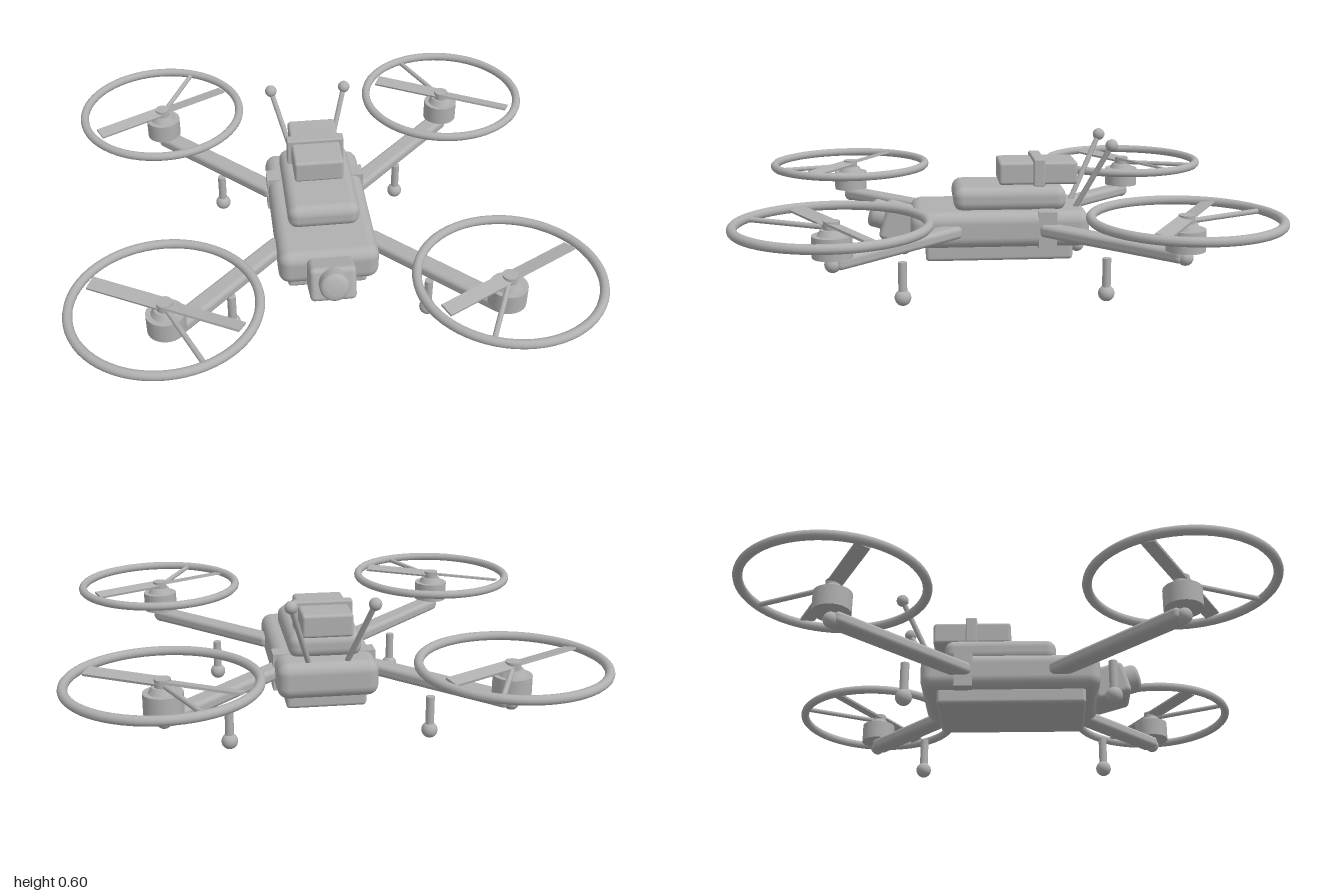
import * as THREE from 'three';
import { RoundedBoxGeometry } from 'three/addons/geometries/RoundedBoxGeometry.js';

const grey = new THREE.MeshStandardMaterial({ color: 0xb0b0b0 });
grey.name = 'grey';

function add(parent, name, geometry, x = 0, y = 0, z = 0) {
  const mesh = new THREE.Mesh(geometry, grey);
  mesh.name = name;
  mesh.position.set(x, y, z);
  parent.add(mesh);
  return mesh;
}

const rounded = (w, h, d, r) => new RoundedBoxGeometry(w, h, d, 4, r);
const ball = (r) => new THREE.SphereGeometry(r, 24, 16);

// Round bar between two points
function rod(parent, name, a, b, r) {
  const from = new THREE.Vector3(...a), to = new THREE.Vector3(...b);
  const dir = to.clone().sub(from);
  const mesh = add(parent, name, new THREE.CylinderGeometry(r, r, dir.length(), 16));
  mesh.position.copy(from).add(to).multiplyScalar(0.5);
  mesh.quaternion.setFromUnitVectors(new THREE.Vector3(0, 1, 0), dir.normalize());
  return mesh;
}

// Motor, propeller and ring guard, with the origin on the motor axis
function createRotor(sx, sz) {
  const rotor = new THREE.Group();
  rotor.name = 'rotor';
  add(rotor, 'motor', new THREE.CylinderGeometry(0.073, 0.073, 0.08, 32), 0, 0.303, 0);
  add(rotor, 'motorCap', new THREE.CylinderGeometry(0.04, 0.053, 0.022, 32), 0, 0.354, 0);
  add(rotor, 'hub', new THREE.CylinderGeometry(0.03, 0.03, 0.04, 24), 0, 0.375, 0);
  add(rotor, 'armEndBall', ball(0.03), 0, 0.235, 0);

  const guard = add(rotor, 'ringGuard', new THREE.TorusGeometry(0.345, 0.018, 12, 64), 0, 0.378, 0);
  guard.rotation.x = Math.PI / 2;
  rod(rotor, 'guardStrut', [0, 0.37, 0], [-sx * 0.138, 0.375, sz * 0.315], 0.01);

  // Two pitched blades
  const propeller = new THREE.Group();
  propeller.name = 'propeller';
  propeller.position.y = 0.382;
  propeller.rotation.y = sx * sz * 0.5;
  for (const turn of [0, Math.PI]) {
    const blade = new THREE.Group();
    blade.name = 'blade';
    blade.rotation.y = turn;
    add(blade, 'bladePlate', new THREE.BoxGeometry(0.3, 0.009, 0.056), 0.16, 0, 0).rotation.x = -0.2;
    propeller.add(blade);
  }
  rotor.add(propeller);
  return rotor;
}

export function createModel() {
  const model = new THREE.Group();
  model.name = 'quadcopter';

  // Central body stack
  add(model, 'body', rounded(0.4, 0.146, 0.72, 0.045), 0, 0.241, 0);
  add(model, 'bodyBand', new THREE.BoxGeometry(0.41, 0.15, 0.073), 0, 0.241, -0.187);
  add(model, 'upperShell', rounded(0.29, 0.1, 0.455, 0.04), 0, 0.355, -0.042);
  add(model, 'bellyPlate', rounded(0.32, 0.07, 0.595, 0.015), 0, 0.145, 0.003);
  add(model, 'battery', rounded(0.2, 0.092, 0.32, 0.012), 0, 0.454, -0.16);
  add(model, 'batteryStrap', rounded(0.236, 0.112, 0.046, 0.006), 0, 0.459, -0.162);

  // Nose camera, tilted upward
  const camera = new THREE.Group();
  camera.name = 'noseCamera';
  camera.position.set(0, 0.26, 0.472);
  camera.rotation.x = -0.29;
  add(camera, 'cameraHousing', rounded(0.182, 0.14, 0.15, 0.02), 0, 0, -0.075);
  const lensProfile = [[0.058, -0.03], [0.058, 0.04], [0.055, 0.049], [0.047, 0.056], [0.03, 0.06], [0, 0.061]]
    .map(([r, y]) => new THREE.Vector2(r, y));
  add(camera, 'lens', new THREE.LatheGeometry(lensProfile, 32), 0, 0.012, 0).rotation.x = Math.PI / 2;
  model.add(camera);

  // Arms, rotors and landing feet at the four corners
  for (const sx of [-1, 1]) {
    for (const sz of [-1, 1]) {
      const arm = add(model, 'arm', rounded(0.08, 0.05, 0.65, 0.018), sx * 0.407, 0.24, sz * 0.407);
      arm.rotation.y = sx * sz * Math.PI / 4;

      const rotor = createRotor(sx, sz);
      rotor.position.set(sx * 0.637, 0, sz * 0.637);
      model.add(rotor);

      rod(model, 'landingLeg', [sx * 0.393, 0.04, sz * 0.393], [sx * 0.393, 0.174, sz * 0.393], 0.017);
      add(model, 'footBall', ball(0.032), sx * 0.393, 0.034, sz * 0.393);
    }

    // Rear antenna
    rod(model, 'antenna', [sx * 0.07, 0.29, -0.305], [sx * 0.158, 0.575, -0.445], 0.011);
    add(model, 'antennaTip', ball(0.025), sx * 0.158, 0.575, -0.445);
  }
  return model;
}
